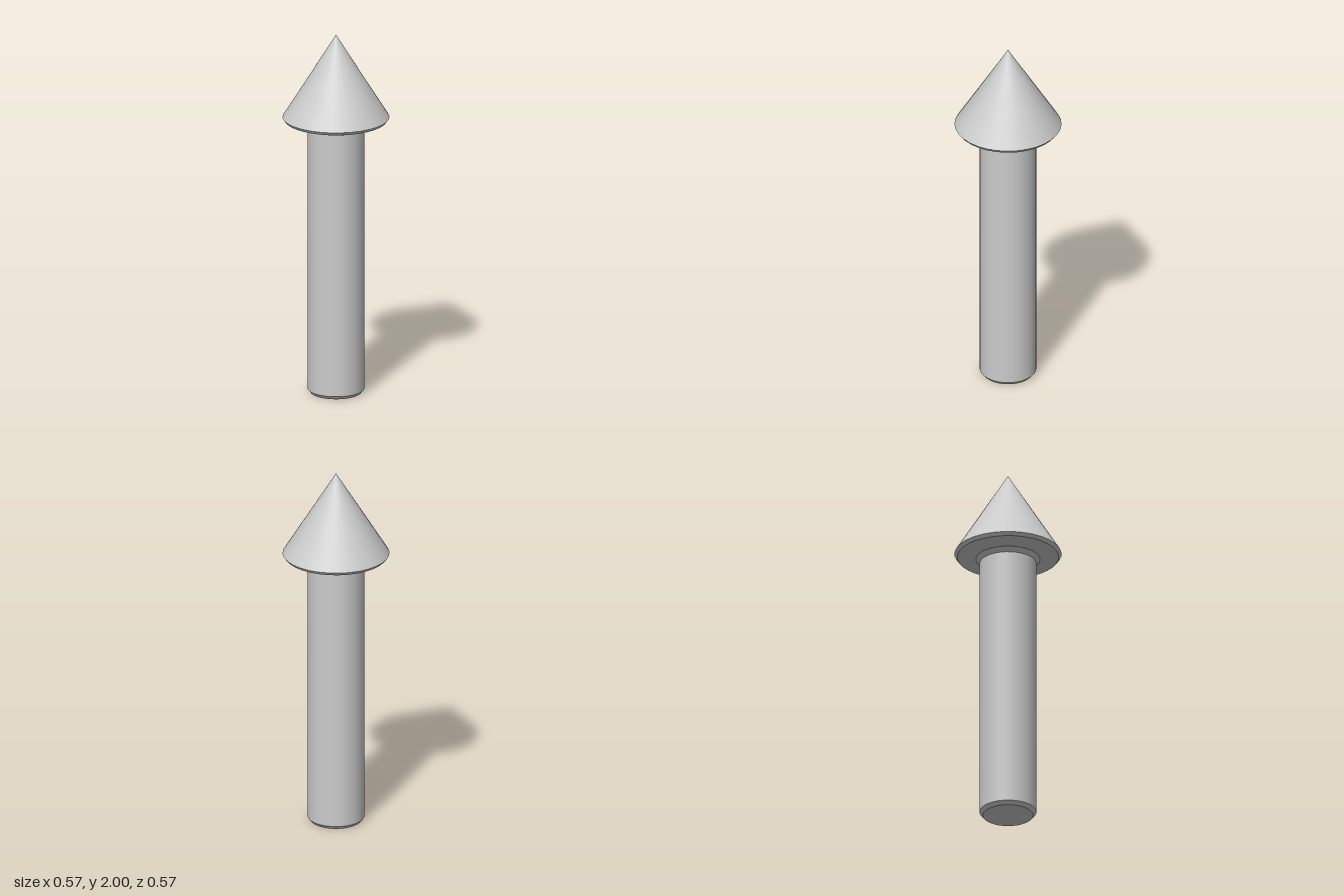
import * as THREE from 'three';
import { mergeGeometries } from 'three/addons/utils/BufferGeometryUtils.js';

const SIDES = 32;

// Turned part: one lathe band per profile step keeps the edges between bands sharp
function turned(name, profile, material) {
  const points = profile.map(([r, y]) => new THREE.Vector2(r, y));
  const bands = points.slice(1).map((p, i) => new THREE.LatheGeometry([points[i], p], SIDES));
  const mesh = new THREE.Mesh(mergeGeometries(bands), material);
  mesh.name = name;
  return mesh;
}

export function createModel() {
  const group = new THREE.Group();
  group.name = 'arrow';
  const grey = new THREE.MeshStandardMaterial({ color: 0xcccccc });

  // Round shaft with a chamfered foot
  group.add(turned('shaft', [[0, 0], [0.135, 0], [0.152, 0.02], [0.152, 1.483]], grey));

  // Head: flared collar, shallow underside, bevelled rim and cone
  group.add(turned('head', [[0.152, 1.483], [0.172, 1.507], [0.272, 1.522], [0.286, 1.54], [0, 2]], grey));

  return group;
}
